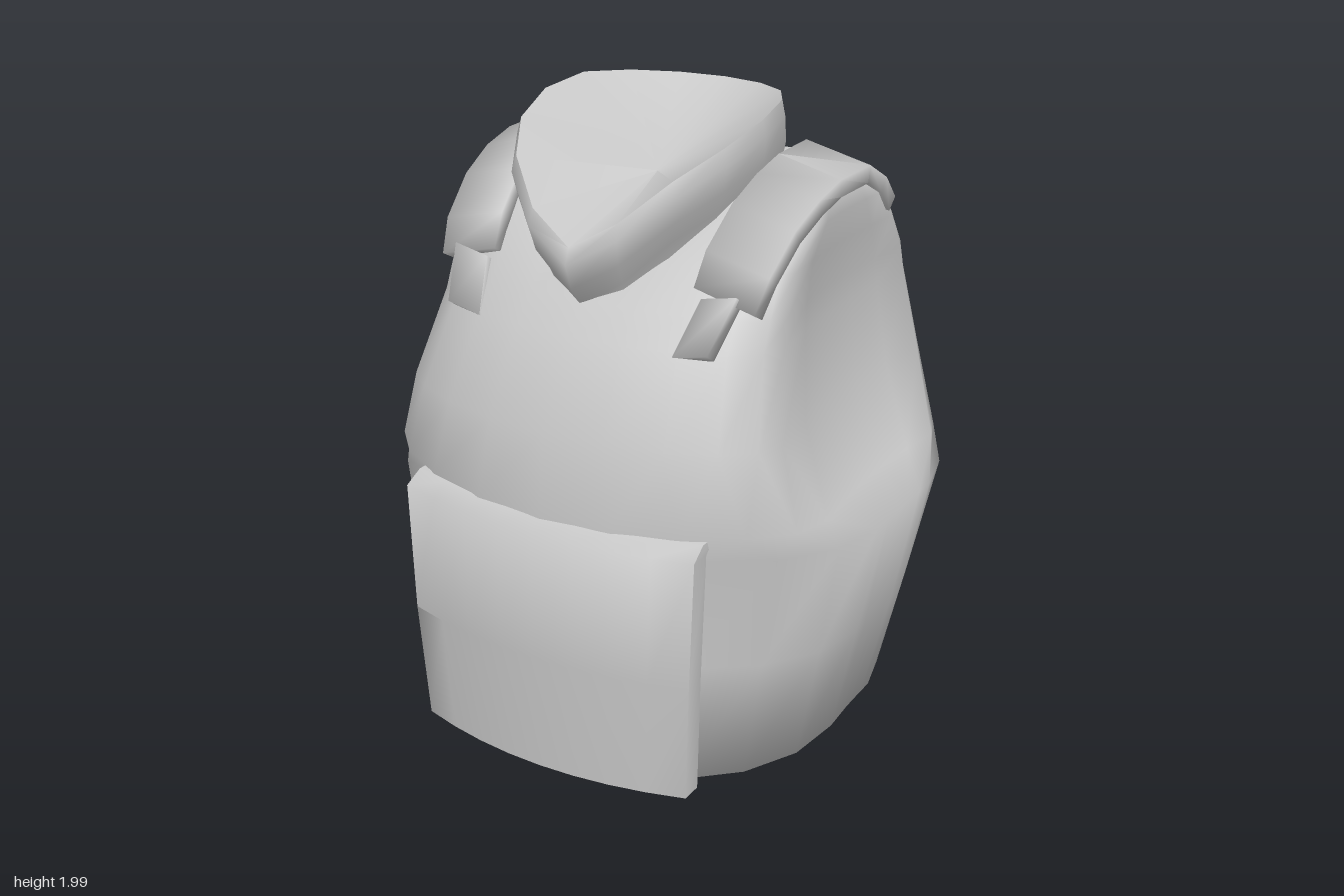
import * as THREE from 'three';
import { toCreasedNormals } from 'three/addons/utils/BufferGeometryUtils.js';

const grey = new THREE.MeshStandardMaterial({ color: 0xc8c8c8, side: THREE.DoubleSide });
grey.name = 'vestGrey';

// Skin closed rings of [x, y, z] points, listed from bottom to top; a one-point ring closes an end
function loft(name, rings, crease) {
  const n = Math.max(...rings.map(r => r.length));
  const full = rings.map(r => (r.length === 1 ? Array(n).fill(r[0]) : r));
  const index = [];
  for (let i = 0; i < full.length - 1; i++) {
    for (let j = 0; j < n; j++) {
      const k = (j + 1) % n;
      const a = i * n + j, b = i * n + k, c = a + n, d = b + n;
      if (rings[i].length > 1) index.push(a, b, rings[i + 1].length > 1 ? d : c);
      if (rings[i + 1].length > 1) index.push(a, d, c);
    }
  }
  const geo = new THREE.BufferGeometry();
  geo.setAttribute('position', new THREE.Float32BufferAttribute(full.flat(2), 3));
  geo.setIndex(index);
  const mesh = new THREE.Mesh(toCreasedNormals(geo, crease), grey);
  mesh.name = name;
  return mesh;
}

const middle = ring => [0, 1, 2].map(k => ring.reduce((s, p) => s + p[k], 0) / ring.length);

// Torso section: curved front, side panel (slightly sunken at the armhole), curved back
function torsoRing([y, w, front, back, rimFront, rimBack, dip, neckDrop], row) {
  const half = [];
  for (let i = 0; i <= 5; i++) {
    const t = (i / 5) * Math.PI / 2;
    half.push([w * Math.sin(t), rimFront + (front - rimFront) * Math.cos(t)]);
  }
  for (let i = 1; i < 5; i++) {
    const u = i / 5;
    half.push([w - dip * Math.sin(Math.PI * u), rimFront + (rimBack - rimFront) * u]);
  }
  for (let i = 5; i >= 0; i--) {
    const t = (i / 5) * Math.PI / 2;
    half.push([w * Math.sin(t), rimBack + (back - rimBack) * Math.pow(Math.cos(t), row < 2 ? 1 : 0.75)]);
  }
  const other = half.slice(1, -1).reverse().map(([x, z]) => [-x, z]);
  return half.concat(other).map(([x, z]) => {
    let h = y;
    if (row === 0) h = 0.05 - 0.066 * z + 0.04 * Math.abs(x) * Math.max(0, 1 - Math.abs(z) / 0.6);
    if (z > -0.2) h -= neckDrop * Math.max(0, 1 - Math.abs(x) / 0.34);
    if (neckDrop) h -= 0.2 * Math.max(0, Math.abs(x) - 0.36);
    return [x, h, z];
  });
}

function makeTorso() {
  // height, half width, front z, back z, armhole front z, armhole back z, armhole depth, neck drop
  const rows = [
    [0.05, 0.72, 0.67, -0.6, 0.12, -0.15, 0, 0],
    [0.42, 0.785, 0.68, -0.645, 0.1, -0.22, 0, 0],
    [0.79, 0.842, 0.69, -0.695, 0.1, -0.28, 0, 0],
    [0.87, 0.76, 0.685, -0.705, 0.28, -0.47, 0.03, 0],
    [1.12, 0.65, 0.655, -0.735, 0.37, -0.57, 0.04, 0],
    [1.38, 0.597, 0.52, -0.692, 0.27, -0.55, 0.03, 0],
    [1.47, 0.595, 0.44, -0.67, 0.25, -0.52, 0.03, 0],
    [1.59, 0.59, 0.34, -0.58, 0.2, -0.46, 0.02, 0],
    [1.735, 0.59, 0.2, -0.455, 0.08, -0.36, 0.01, 0.14],
    [1.815, 0.57, 0.02, -0.28, 0, -0.23, 0, 0.18],
  ];
  const rings = rows.map(torsoRing);
  return loft('torsoShell', [[middle(rings[0])], ...rings, [[0, 1.73, -0.15]]], 2.6);
}

// Raised curved panel on the belly
function makeFrontPanel() {
  const rows = [[0.005, 0.485, 0.715], [0.4, 0.505, 0.735], [0.825, 0.52, 0.735], [0.86, 0.515, 0.675]];
  const rings = rows.map(([y, w, z]) => {
    const face = [];
    for (let i = -4; i <= 4; i++) face.push([w * i / 4, y, z - 0.08 * (i / 4) ** 2]);
    return face.concat([...face].reverse().map(([x, h, d]) => [x, h, d - 0.07]));
  });
  return loft('frontPanel', [[middle(rings[0])], ...rings, [middle(rings[3])]], 1.3);
}

// Flared collar, dipping to a V at the throat and closed inside by a shallow cone
function makeCollar() {
  const ring = (drop, scaleFront, scaleBack) => {
    const pts = [];
    for (let i = 0; i < 16; i++) {
      const a = (i / 16) * Math.PI * 2;
      const z = 0.04 + 0.46 * Math.cos(a);
      const s = scaleBack + (scaleFront - scaleBack) * (1 + Math.cos(a)) / 2;
      const u = (z + 0.17) / 0.67;
      const y = u > 0 ? 2 - 0.35 * (0.6 * u ** 2 + 0.4 * u ** 12) : 2 + 0.08 * u;
      pts.push([0.385 * Math.sin(a) * s, y - drop, 0.04 + 0.46 * Math.cos(a) * s]);
    }
    return pts;
  };
  const rings = [ring(0.29, 0.76, 1.06), ring(0.2, 0.86, 1.07), ring(0.13, 0.98, 1.06),
    ring(0.05, 1.04, 1.02), ring(0, 1, 1)];
  return loft('collar', [...rings, [[0, 1.76, 0]]], 1.1);
}

// Padded band swept along a path of [x, y, z, half width]; outer edge sits lower by the given tilt
function makeBand(name, path, thick, tilt, side) {
  const rings = path.map(([x, y, z, w], i) => {
    const p = path[Math.max(i - 1, 0)], q = path[Math.min(i + 1, path.length - 1)];
    const len = Math.hypot(q[1] - p[1], q[2] - p[2]);
    const ny = -(q[2] - p[2]) / len, nz = (q[1] - p[1]) / len;
    const ring = [[-w, 0], [w, 0], [w, -thick], [-w, -thick]].map(([dx, d]) =>
      [side * (x + dx), y + ny * d - tilt * dx / w, z + nz * d]);
    return side < 0 ? ring.reverse() : ring;
  });
  return loft(name, [[middle(rings[0])], ...rings, [middle(rings[rings.length - 1])]], 1.8);
}

export function createModel() {
  const model = new THREE.Group();
  model.name = 'armourVest';
  model.add(makeTorso(), makeFrontPanel(), makeCollar());

  const strap = [
    [0.452, 1.53, 0.38, 0.1], [0.465, 1.63, 0.325, 0.105], [0.48, 1.74, 0.2, 0.105],
    [0.49, 1.8, 0.07, 0.105], [0.493, 1.83, -0.06, 0.105], [0.493, 1.83, -0.25, 0.11],
    [0.475, 1.76, -0.38, 0.125], [0.47, 1.68, -0.45, 0.13],
  ];
  const tab = [[0.4, 1.385, 0.485, 0.058], [0.438, 1.54, 0.385, 0.058]];
  for (const side of [1, -1]) {
    const word = side > 0 ? 'left' : 'right';
    model.add(makeBand(word + 'ShoulderStrap', strap, 0.055, 0.025, side));
    model.add(makeBand(word + 'StrapTab', tab, 0.05, -0.012, side));
  }
  return model;
}
